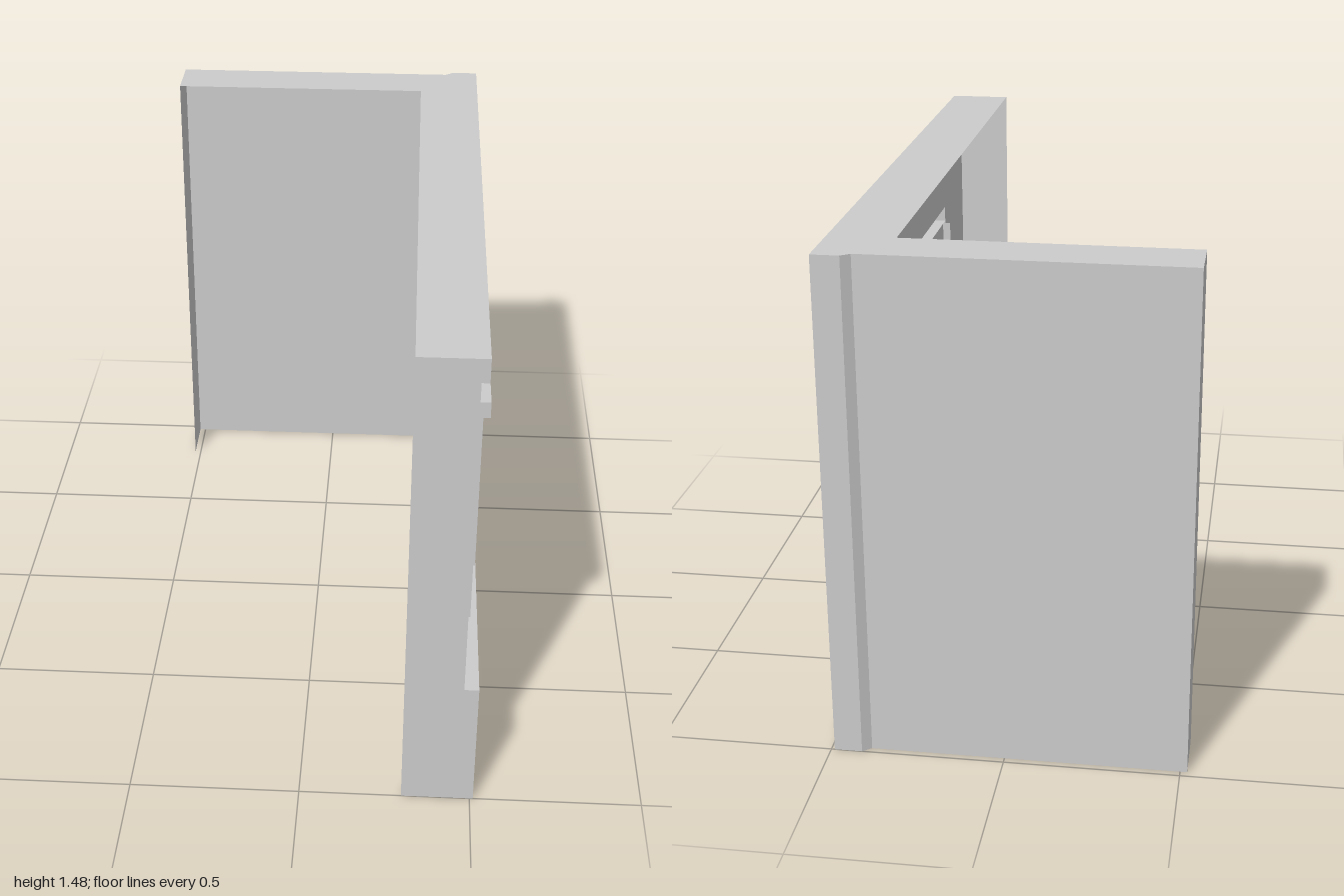
import * as THREE from 'three';

const material = new THREE.MeshStandardMaterial({ color: 0xcccccc, flatShading: true, side: THREE.DoubleSide });

// Vertical skin that follows a plan path of [x, z] points between two heights.
function strip(path, y0, y1) {
  const pos = [];
  for (let i = 0; i < path.length - 1; i++) {
    const [ax, az] = path[i], [bx, bz] = path[i + 1];
    pos.push(ax, y0, az, bx, y0, bz, bx, y1, bz, ax, y0, az, bx, y1, bz, ax, y1, az);
  }
  const g = new THREE.BufferGeometry();
  g.setAttribute('position', new THREE.Float32BufferAttribute(pos, 3));
  g.computeVertexNormals();
  return g;
}

// Horizontal plate from a plan outline, facing up or down.
function plate(outline, y, up = true) {
  const s = up ? -1 : 1;
  const shape = new THREE.Shape(outline.map(([x, z]) => new THREE.Vector2(x, s * z)));
  return new THREE.ShapeGeometry(shape).rotateX(s * Math.PI / 2).translate(0, y, 0);
}

const rect = (x0, x1, z0, z1) => [[x0, z0], [x1, z0], [x1, z1], [x0, z1]];

function part(name, ...geometries) {
  const group = new THREE.Group();
  group.name = name;
  for (const g of geometries) {
    const mesh = new THREE.Mesh(g, material);
    mesh.name = name;
    group.add(mesh);
  }
  return group;
}

const WALL = 0.468, BASE = 0.51, CORNICE = 0.49, PANE = 0.445, SASH = 0.47, LINTEL = 0.515;
const SILL = 0.41, HEAD = 1.105, LINTEL_TOP = 1.155, CORNICE_Y = 1.41, TOP = 1.48;
const HALF = 0.245, INNER = 0.215;
const windowZ = [0.425, -0.4];

function createWindow(c) {
  const w = new THREE.Group();
  w.name = 'window';
  const a = c + INNER, b = c - INNER, A = c + HALF, B = c - HALF;

  // Hollow lintel
  w.add(part('lintel',
    strip([[WALL, A], [LINTEL, A], [LINTEL, B], [WALL, B]], HEAD, LINTEL_TOP),
    plate(rect(WALL, LINTEL, B, A), LINTEL_TOP),
    plate(rect(WALL, LINTEL, B, A), HEAD, false)));

  // Side frames, slightly shallower near the sill
  for (const [y0, y1, x] of [[SILL, 0.6, 0.49], [0.6, HEAD, 0.495]]) {
    w.add(part('sideFrame',
      strip([[WALL, A], [x, A], [x, a], [PANE, a]], y0, y1),
      strip([[PANE, b], [x, b], [x, B], [WALL, B]], y0, y1)));
  }

  // Upper panel with its underside
  w.add(part('upperPanel',
    strip([[SASH, a], [SASH, b]], 0.91, HEAD),
    plate(rect(PANE, SASH, b, a), 0.91, false)));

  // Four recessed panes divided by hollow glazing bars
  const bar = 0.013;
  for (const [y0, y1] of [[SILL, 0.66], [0.675, 0.91]]) {
    w.add(part('panes',
      strip([[PANE, a], [PANE, c + bar]], y0, y1),
      strip([[PANE, c - bar], [PANE, b]], y0, y1)));
    w.add(part('verticalBar',
      strip([[PANE, c + bar], [SASH, c + bar], [SASH, c - bar], [PANE, c - bar]], y0, y1)));
  }
  w.add(part('horizontalBar', strip([[SASH, a], [SASH, b]], 0.66, 0.675)));
  for (const [z0, z1] of [[b, c - bar], [c + bar, a]]) {
    w.add(part('horizontalBar',
      plate(rect(PANE, SASH, z0, z1), 0.675),
      plate(rect(PANE, SASH, z0, z1), 0.66, false)));
  }

  // Window ledge
  w.add(part('windowLedge', plate(rect(PANE, WALL, b, a), SILL)));
  return w;
}

export function createModel() {
  const model = new THREE.Group();
  model.name = 'cornerWall';

  // Corner pier, back wall and its free end
  const back = [[CORNICE, -0.915], [CORNICE, -1], [0.41, -1], [0.385, -0.98], [-0.52, -0.98], [-0.52, -0.82]];
  model.add(part('backWall', strip(back, 0, TOP)));

  // Projecting base with chamfered end
  model.add(part('base',
    strip([[0.3, 1], [BASE, 1], [BASE, -0.89], [CORNICE, -0.915]], 0, SILL),
    plate([[WALL, 1], [BASE, 1], [BASE, -0.89], [CORNICE, -0.915], [WALL, -0.89]], SILL)));

  // Facade panels around the window openings
  const facade = part('facade',
    strip([[0.3, 1], [WALL, 1]], SILL, CORNICE_Y),
    strip([[WALL, -0.89], [CORNICE, -0.915]], SILL, CORNICE_Y),
    strip([[WALL, 1], [WALL, -0.89]], LINTEL_TOP, CORNICE_Y));
  const stops = [1, ...windowZ.flatMap((c) => [c + HALF, c - HALF]), -0.89];
  for (let i = 0; i < stops.length; i += 2) {
    facade.add(...part('facade', strip([[WALL, stops[i]], [WALL, stops[i + 1]]], SILL, LINTEL_TOP)).children);
  }
  model.add(facade);

  // Cornice band
  model.add(part('cornice',
    strip([[0.3, 1], [CORNICE, 1], [CORNICE, -0.915]], CORNICE_Y, TOP),
    plate([[WALL, 1], [CORNICE, 1], [CORNICE, -0.915], [WALL, -0.89]], CORNICE_Y, false)));

  // L-shaped wall top
  model.add(part('wallTop', plate([[0.3, 1], [CORNICE, 1], ...back, [0.3, -0.82]], TOP)));

  for (const z of windowZ) model.add(createWindow(z));
  return model;
}
